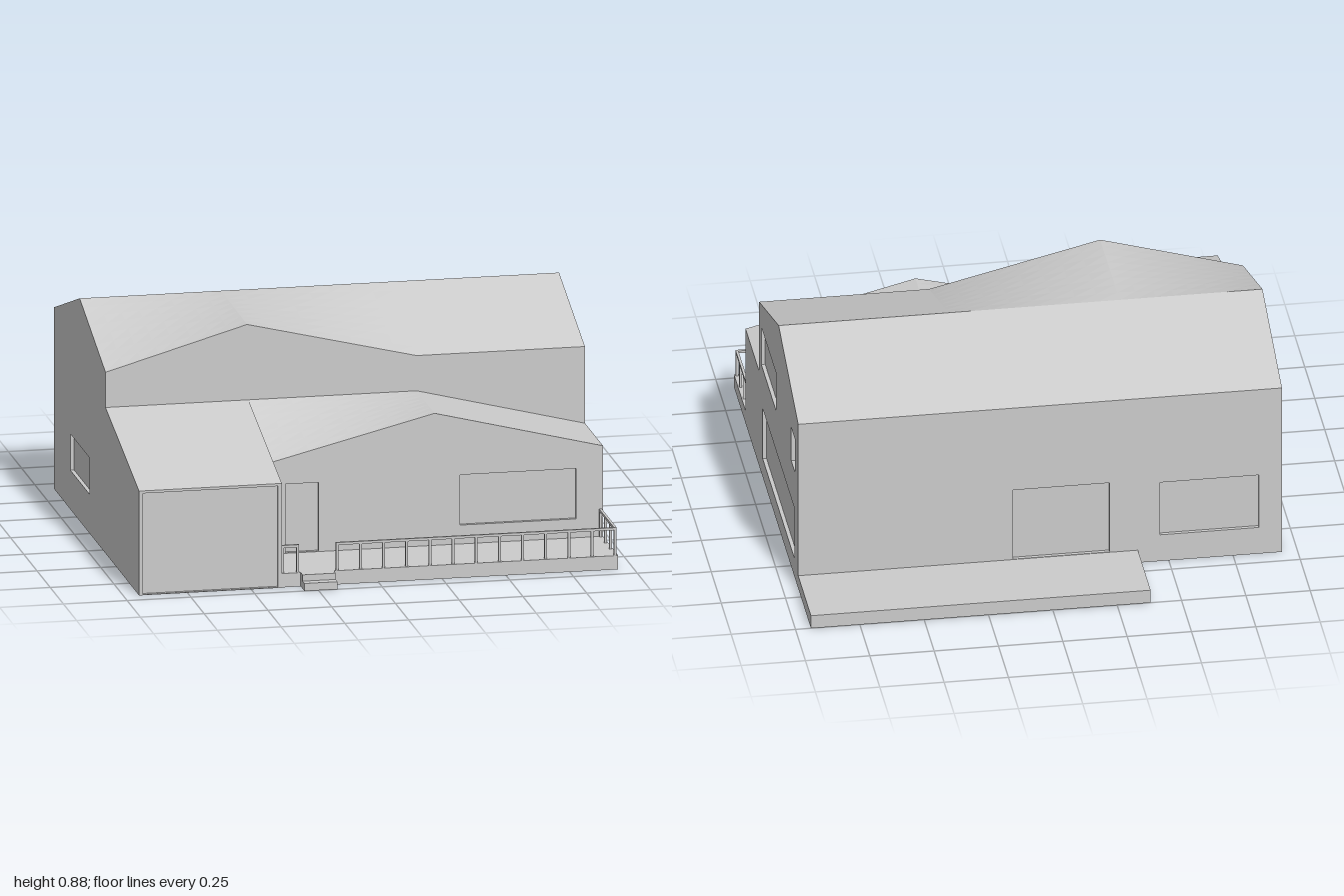
import * as THREE from 'three';

const mat = new THREE.MeshStandardMaterial({ color: 0xcccccc, flatShading: true, side: THREE.DoubleSide });
const T = 0.015; // wall thickness, and depth of window and door recesses

function box(parent, name, x0, x1, y0, y1, z0, z1) {
  const m = new THREE.Mesh(new THREE.BoxGeometry(x1 - x0, y1 - y0, z1 - z0), mat);
  m.position.set((x0 + x1) / 2, (y0 + y1) / 2, (z0 + z1) / 2);
  m.name = name;
  parent.add(m);
}

// Upright wall from an outline (u, y); each opening is [name, u0, u1, y0, y1] and gets a recessed panel.
function wall(parent, name, outline, openings, offset, turn) {
  const g = new THREE.Group();
  g.name = name;
  const shape = new THREE.Shape(outline.map(([u, y]) => new THREE.Vector2(u, y)));
  for (const [label, u0, u1, y0, y1] of openings) {
    shape.holes.push(new THREE.Path([[u0, y0], [u0, y1], [u1, y1], [u1, y0]].map(p => new THREE.Vector2(...p))));
    box(g, label, u0 - 0.002, u1 + 0.002, y0 - 0.002, y1 + 0.002, -T - 0.005, -T);
  }
  const geo = new THREE.ExtrudeGeometry(shape, { depth: T, bevelEnabled: false });
  geo.translate(0, 0, -T);
  const m = new THREE.Mesh(geo, mat);
  m.name = name + 'Surface';
  g.add(m);
  g.rotation.y = turn;
  g.position.set(Math.sin(turn) * offset, 0, Math.cos(turn) * offset);
  parent.add(g);
}

// Ruled roof surface: a-b is the eave edge, d-c the upper edge.
function roof(parent, name, a, b, c, d, n = 8) {
  const [A, B, C, D] = [a, b, c, d].map(p => new THREE.Vector3(...p));
  const geo = new THREE.PlaneGeometry(1, 1, n, n);
  const pos = geo.attributes.position;
  for (let i = 0; i < pos.count; i++) {
    const u = pos.getX(i) + 0.5, v = pos.getY(i) + 0.5;
    const p = A.clone().lerp(B, u).lerp(D.clone().lerp(C, u), v);
    pos.setXYZ(i, p.x, p.y, p.z);
  }
  geo.computeVertexNormals();
  const m = new THREE.Mesh(geo, mat);
  m.name = name;
  parent.add(m);
}

// Railing run between two points, with evenly spaced posts.
function railing(parent, name, x0, z0, x1, z1, panels) {
  const g = new THREE.Group();
  g.name = name;
  const r = 0.005, top = 0.165;
  for (let i = 0; i <= panels; i++) {
    const x = x0 + (x1 - x0) * i / panels, z = z0 + (z1 - z0) * i / panels;
    box(g, 'post', x - r, x + r, 0.055, top - 0.01, z - r, z + r);
  }
  box(g, 'handrail', x0 - r, x1 + r, top - 0.01, top, z0 - r, z1 + r);
  parent.add(g);
}

export function createModel() {
  const house = new THREE.Group();
  house.name = 'house';
  const Q = Math.PI / 2;
  const W = 0.94, back = -0.68, front = 0.3, porchWall = 0.64, garageFront = 0.935;
  const low = 0.415, mid = 0.58, eave = 0.72, ridge = 0.885, ridgeZ = -0.19;
  const gx = -0.38, px = 0.28; // garage inner side, porch gable peak

  // Walls
  wall(house, 'garageFrontWall', [[-W, 0], [gx, 0], [gx, low], [-W, low]],
    [['garageDoor', -0.925, -0.395, 0.003, 0.405]], garageFront, 0);
  wall(house, 'garageInnerWall', [[-garageFront, 0], [-front, 0], [-front, mid], [-garageFront, low]], [], gx, Q);
  house.getObjectByName('garageInnerWall').position.set(gx, 0, 0);
  wall(house, 'porchWall', [[gx, 0], [W, 0], [W, low], [px, mid], [gx, low]],
    [['frontDoor', -0.305, -0.175, 0.057, 0.33], ['frontWindow', 0.38, 0.835, 0.13, 0.33]], porchWall, 0);
  wall(house, 'upperFrontWall', [[-W, 0.4], [W, 0.4], [W, eave], [px, eave], [-0.385, 0.88], [-W, eave]], [], front, 0);
  wall(house, 'leftWall', [[-porchWall, 0], [-back, 0], [-back, eave], [-ridgeZ, ridge], [-front, eave], [-front, low], [-porchWall, low]],
    [['lowerWindow', -0.21, 0.585, 0.08, 0.3], ['upperWindow', -0.245, 0.13, 0.475, 0.64], ['smallWindow', 0.505, 0.605, 0.465, 0.61]], W, Q);
  wall(house, 'rightWall', [[back, 0], [garageFront, 0], [garageFront, low], [front, mid], [front, eave], [ridgeZ, ridge], [back, eave]],
    [['sideWindow', -0.367, -0.004, 0.155, 0.3]], W, -Q);
  wall(house, 'backWall', [[-W, 0], [W, 0], [W, eave], [-W, eave]],
    [['backDoor', -0.105, 0.27, 0.057, 0.36], ['backWindow', 0.465, 0.85, 0.115, 0.345]], -back, Math.PI);

  // Main roof, its front slope warping from the stepped gable to the level ridge
  roof(house, 'backRoof', [W, eave, back], [-W, eave, back], [-W, ridge, ridgeZ], [W, ridge, ridgeZ]);
  const profile = [[-W, eave], [-0.385, 0.88], [px, eave], [W, eave]];
  for (let i = 0; i < 3; i++) {
    const [x0, y0] = profile[i], [x1, y1] = profile[i + 1];
    roof(house, 'frontRoof', [x0, y0, front], [x1, y1, front], [x1, ridge, ridgeZ], [x0, ridge, ridgeZ]);
  }

  // Lower roofs over the garage and the porch gable
  roof(house, 'garageRoof', [-W, low, garageFront], [gx, low, garageFront], [gx, mid, front], [-W, mid, front]);
  roof(house, 'porchGableRight', [gx, low, porchWall], [px, mid, porchWall], [px, mid, front], [gx, mid, front]);
  roof(house, 'porchGableLeft', [px, mid, porchWall], [W, low, porchWall], [W, low, front], [px, mid, front]);

  // Floors, decks and steps
  box(house, 'floor', -W + 0.001, W - 0.001, 0, 0.01, back + 0.001, porchWall);
  box(house, 'garageFloor', -W + 0.001, gx, 0, 0.01, porchWall, garageFront - T);
  box(house, 'backDeck', gx, W, 0, 0.055, -1, back);
  box(house, 'porchDeck', gx, W, 0, 0.055, porchWall, 0.93);
  box(house, 'upperStep', -0.305, -0.175, 0, 0.055, 0.93, 0.965);
  box(house, 'lowerStep', -0.305, -0.175, 0, 0.03, 0.965, 1);

  // Porch railings
  railing(house, 'shortRailing', gx + 0.006, 0.92, -0.315, 0.92, 1);
  railing(house, 'frontRailing', -0.16, 0.92, 0.93, 0.92, 12);
  railing(house, 'sideRailing', 0.93, porchWall + 0.005, 0.93, 0.92, 3);
  return house;
}
